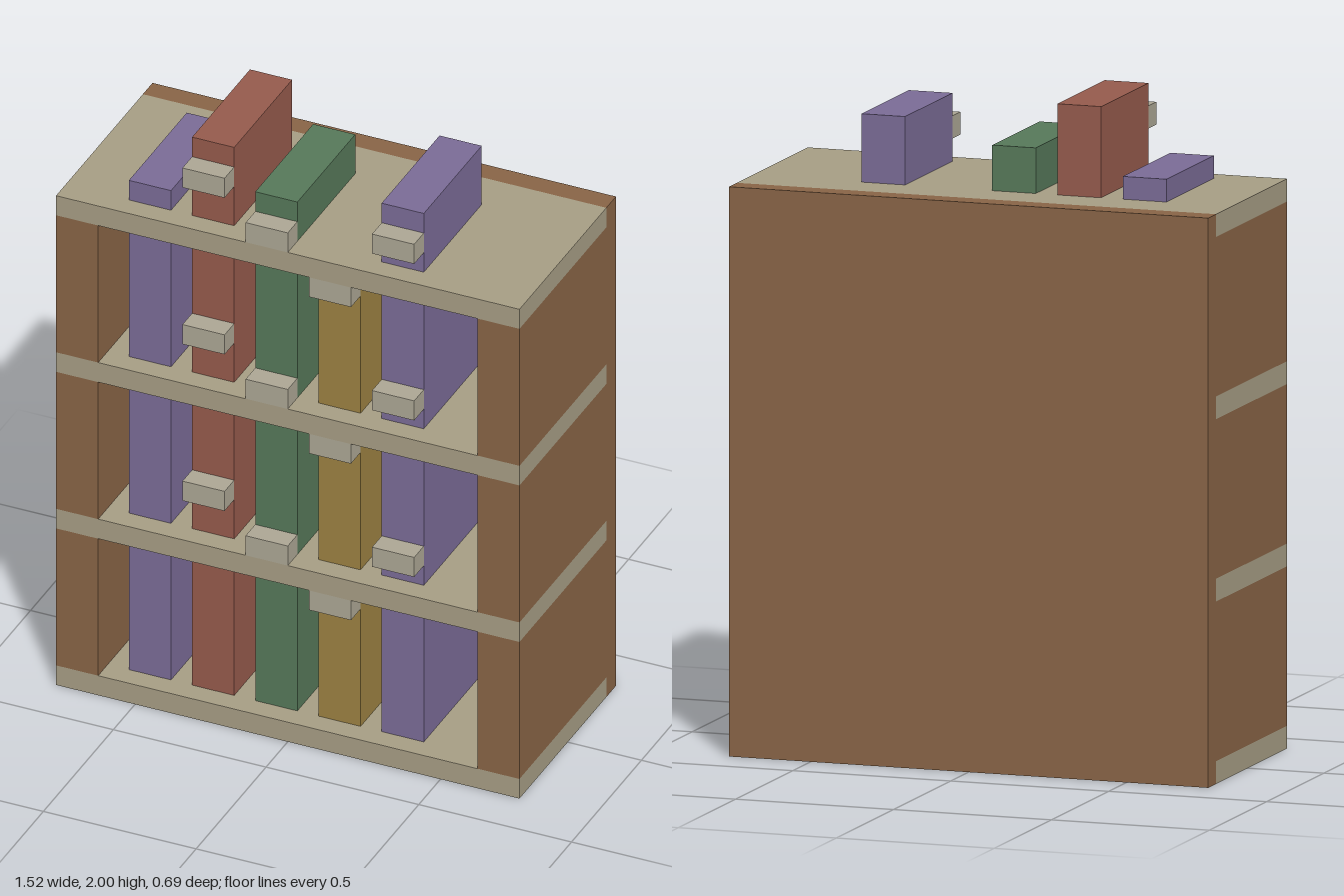
import * as THREE from 'three';

// Everything sits on a block grid: 29 blocks make the full height of 2.
const U = 2 / 29;

export function createModel() {
  const root = new THREE.Group();
  root.name = 'bookcase';

  const mat = (color) => new THREE.MeshStandardMaterial({ color });
  const wood = mat(0x886446);
  const board = mat(0xa69d84);
  const label = mat(0xaca694);
  const purple = mat(0x7a6b96);
  const red = mat(0x955a4c);
  const green = mat(0x567859);
  const yellow = mat(0x9b8142);

  // Box between two grid corners
  function block(parent, name, material, [x0, y0, z0], [x1, y1, z1]) {
    const geo = new THREE.BoxGeometry((x1 - x0) * U, (y1 - y0) * U, (z1 - z0) * U);
    const mesh = new THREE.Mesh(geo, material);
    mesh.name = name;
    mesh.position.set((x0 + x1) / 2 * U, (y0 + y1) / 2 * U, (z0 + z1) / 2 * U);
    parent.add(mesh);
  }

  // Back panel and four full-width boards
  block(root, 'backPanel', wood, [-11, 0, -5], [11, 25, -4]);
  for (let i = 0; i < 4; i++) {
    block(root, 'shelf', board, [-11, i * 8, -4], [11, i * 8 + 1, 5]);
  }

  // Left edge, height, colour, and whether a spine tab shows
  const books = [
    { x: -8, height: 9, material: purple, tab: false },
    { x: -5, height: 12, material: red, tab: true },
    { x: -2, height: 10, material: green, tab: true },
    { x: 1, height: 7.6, tabTop: 7, material: yellow, tab: true },
    { x: 4, height: 11, material: purple, tab: true },
  ];

  for (let i = 0; i < 3; i++) {
    const base = i * 8 + 1;
    // Side walls between the boards
    block(root, 'rightWall', wood, [-11, base, -4], [-9, base + 7, 5]);
    block(root, 'leftWall', wood, [9, base, -4], [11, base + 7, 5]);

    // Row of books, the tall ones passing through the board above
    const row = new THREE.Group();
    row.name = 'bookRow';
    root.add(row);
    for (const b of books) {
      block(row, 'book', b.material, [b.x, base, -2], [b.x + 2, base + b.height, 4]);
      if (!b.tab) continue;
      const top = base + (b.tabTop ?? b.height - 1);
      block(row, 'spineTab', label, [b.x, top - 1, 4], [b.x + 2, top, 5]);
    }
  }
  return root;
}
